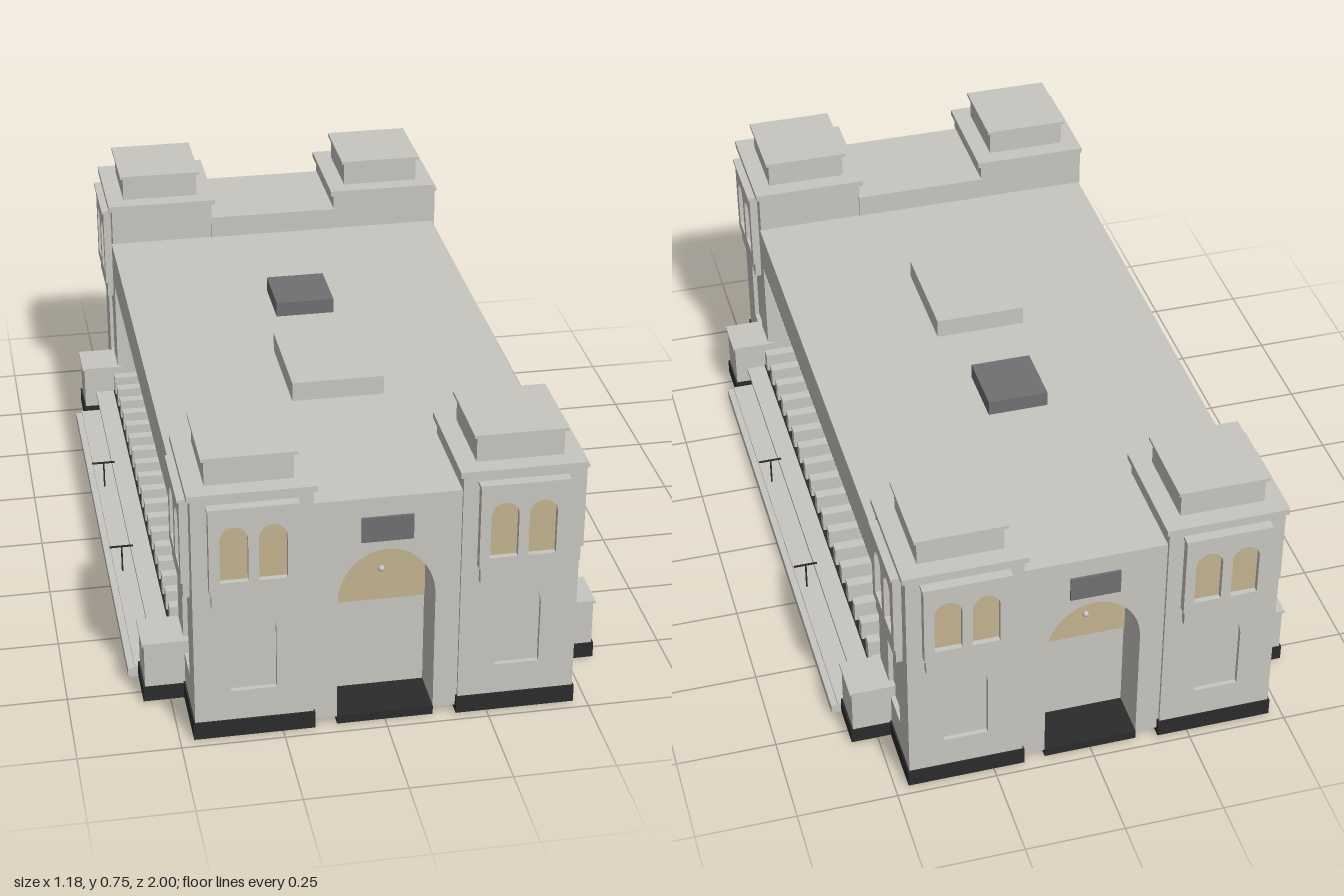
import * as THREE from 'three';

const mat = (name, color) => {
  const m = new THREE.MeshStandardMaterial({ color });
  m.name = name;
  return m;
};

export function createModel() {
  const stone = mat('pale stone', 0xc8c6c0);
  const dark = mat('dark plinth', 0x2b2b2b);
  const glass = mat('tan glass', 0xc3b391);
  const grey = mat('dark grey metal', 0x707074);
  const model = new THREE.Group();
  model.name = 'stationHall';

  const mesh = (parent, name, geo, m) => {
    const o = new THREE.Mesh(geo, m);
    o.name = name;
    parent.add(o);
    return o;
  };
  // box given by its extents
  const box = (parent, name, m, x0, x1, y0, y1, z0, z1) => {
    const o = mesh(parent, name, new THREE.BoxGeometry(x1 - x0, y1 - y0, z1 - z0), m);
    o.position.set((x0 + x1) / 2, (y0 + y1) / 2, (z0 + z1) / 2);
    return o;
  };
  const group = (parent, name) => {
    const g = new THREE.Group();
    g.name = name;
    parent.add(g);
    return g;
  };
  // arched outline with a half-elliptical head
  const arch = (Type, cx, w, y0, spring, top) => {
    const p = new Type();
    p.moveTo(cx - w / 2, y0);
    p.lineTo(cx + w / 2, y0);
    p.lineTo(cx + w / 2, spring);
    p.absellipse(cx, spring, w / 2, top - spring, 0, Math.PI, false, 0);
    p.closePath();
    return p;
  };
  const rect = (x0, x1, y0, y1) => new THREE.Shape([
    new THREE.Vector2(x0, y0), new THREE.Vector2(x1, y0),
    new THREE.Vector2(x1, y1), new THREE.Vector2(x0, y1)]);
  const extrude = (parent, name, m, shape, z0, depth) => {
    const o = mesh(parent, name,
      new THREE.ExtrudeGeometry(shape, { depth, bevelEnabled: false, curveSegments: 16 }), m);
    o.position.z = z0;
    return o;
  };

  // corner towers: two decorated faces each, turned to face outwards
  const H = 0.143;
  const towerFace = (parent, name, turn) => {
    const f = group(parent, name);
    f.rotation.y = turn;
    const wall = rect(-H, H, 0.04, 0.66);
    wall.holes.push(arch(THREE.Path, 0, 0.11, 0.13, 0.29, 0.362));
    extrude(f, 'nicheWall', stone, wall, H - 0.012, 0.012);
    box(f, 'bayCorbel', stone, -0.1, 0.1, 0.375, 0.418, H, H + 0.016);
    const bay = rect(-0.105, 0.105, 0.418, 0.636);
    for (const s of [-1, 1]) {
      bay.holes.push(arch(THREE.Path, s * 0.046, 0.067, 0.445, 0.557, 0.592));
      box(f, 'bayWindow', glass, s * 0.046 - 0.037, s * 0.046 + 0.037, 0.44, 0.6, H, H + 0.007);
    }
    extrude(f, 'bayFrame', stone, bay, H, 0.021);
    box(f, 'bayCap', stone, -0.108, 0.108, 0.636, 0.644, H, H + 0.026);
  };
  [[1, 1], [1, -1], [-1, -1], [-1, 1]].forEach(([sx, sz], i) => {
    const t = group(model, 'tower');
    t.position.set(sx * 0.32, 0, sz * 0.83);
    t.rotation.y = i * Math.PI / 2;
    const c = H - 0.012;
    box(t, 'towerCore', stone, -H, c, 0, 0.66, -H, c);
    box(t, 'plinth', dark, -0.147, 0.147, 0.003, 0.049, -0.147, 0.147);
    box(t, 'cornice', stone, -0.152, 0.152, 0.66, 0.675, -0.152, 0.152);
    box(t, 'lantern', stone, -0.105, 0.105, 0.675, 0.74, -0.105, 0.105);
    box(t, 'lanternCap', stone, -0.113, 0.113, 0.74, 0.748, -0.113, 0.113);
    towerFace(t, 'towerFace', 0);
    towerFace(t, 'towerSide', Math.PI / 2);
  });

  // entrance fronts at both ends
  for (const turn of [0, Math.PI]) {
    const e = group(model, 'entrance');
    e.rotation.y = turn;
    const wall = rect(-0.18, 0.18, 0.02, 0.62);
    wall.holes.push(arch(THREE.Path, 0, 0.236, 0.021, 0.34, 0.48));
    extrude(e, 'portalWall', stone, wall, 0.845, 0.12);
    box(e, 'entranceBlock', stone, -0.18, 0.18, 0.02, 0.62, 0.68, 0.845);
    const fan = arch(THREE.Shape, 0, 0.236, 0.27, 0.34, 0.48);
    extrude(e, 'fanlight', glass, fan, 0.845, 0.006);
    box(e, 'threshold', dark, -0.118, 0.118, 0.001, 0.024, 0.83, 0.968);
    box(e, 'signPanel', grey, -0.062, 0.062, 0.505, 0.57, 0.965, 0.971);
    const lamp = mesh(e, 'portalLamp', new THREE.SphereGeometry(0.008, 12, 8), stone);
    lamp.position.set(0, 0.387, 0.9);
  }

  // hall roof with dark ceiling and rooftop boxes
  box(model, 'roof', stone, -0.467, 0.467, 0.444, 0.56, -0.682, 0.682);
  box(model, 'ceiling', dark, -0.466, 0.466, 0.439, 0.444, -0.681, 0.681);
  box(model, 'roofHatch', stone, -0.12, 0.115, 0.56, 0.61, 0.06, 0.35);
  box(model, 'roofUnit', grey, -0.08, 0.075, 0.56, 0.6, -0.3, -0.135);

  // long sides: recessed wall, ribbed ledge, platform and posts
  for (const turn of [0, Math.PI]) {
    const s = group(model, 'longSide');
    s.rotation.y = turn;
    box(s, 'recessedWall', stone, 0.37, 0.385, 0.02, 0.44, -0.69, 0.69);
    box(s, 'ledgeBase', stone, 0.385, 0.515, 0.02, 0.08, -0.68, 0.68);
    box(s, 'ledge', stone, 0.385, 0.53, 0.08, 0.09, -0.68, 0.68);
    box(s, 'ledgeFloor', dark, 0.385, 0.479, 0.09, 0.092, -0.68, 0.68);
    for (let i = 0; i <= 18; i++) {
      const z = -0.666 + i * 0.074;
      box(s, 'rib', stone, 0.385, 0.476, 0.09, 0.145, z - 0.014, z + 0.014);
    }
    box(s, 'platform', stone, 0.5, 0.575, 0.02, 0.03, -0.68, 0.68);
    box(s, 'platformEdge', stone, 0.56, 0.592, 0, 0.025, -0.68, 0.68);
    for (const z of [-0.227, 0.227]) {
      box(s, 'post', dark, 0.553, 0.557, 0.025, 0.105, z - 0.002, z + 0.002);
      box(s, 'postArm', dark, 0.525, 0.587, 0.103, 0.107, z - 0.002, z + 0.002);
    }
    // end piers
    for (const d of [-1, 1]) {
      const p = group(s, 'pier');
      p.position.z = d * 0.738;
      box(p, 'pierBody', stone, 0.45, 0.562, 0, 0.16, -0.055, 0.055);
      box(p, 'pierPlinth', dark, 0.45, 0.567, 0.003, 0.044, -0.058, 0.058);
      box(p, 'pierCap', stone, 0.45, 0.567, 0.16, 0.167, -0.058, 0.058);
    }
  }
  return model;
}
